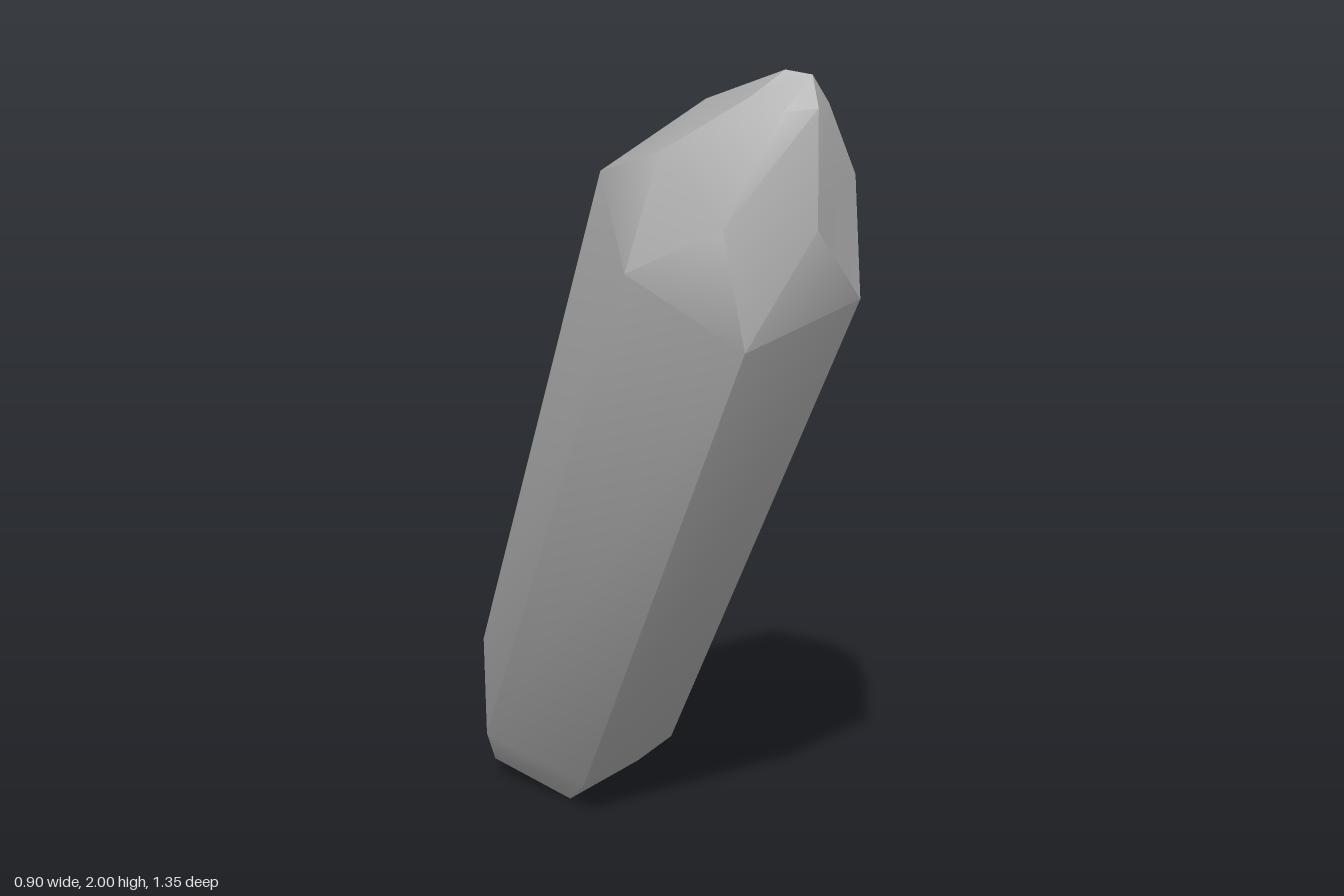
import * as THREE from 'three';
import { toCreasedNormals } from 'three/addons/utils/BufferGeometryUtils.js';

const V = (x, y, z) => new THREE.Vector3(x, y, z);

export function createModel() {
  const group = new THREE.Group();
  group.name = 'crystal';
  const stone = new THREE.MeshStandardMaterial({ color: 0xb0b0b0 });
  stone.name = 'grey stone';

  // Leaning axis and the six spokes of the hexagonal section
  const foot = V(0.255, 0.115, -0.507);
  const axis = V(-0.259, 0.822, 0.507);
  const half = [V(0.195, 0.037, 0.04), V(0.087, -0.075, 0.167), V(-0.11, -0.1125, 0.1325)];
  const spokes = [...half, ...half.map((v) => v.clone().negate())];
  const ring = (t, s) => spokes.map((d) => foot.clone().addScaledVector(axis, t).addScaledVector(d, s));

  const bottom = ring(0, 1);
  const lower = ring(0.19, 1.25);
  const shoulder = ring(1.92, 1.25);
  shoulder[3].set(-0.453, 1.66, 0.42);

  // Uneven facet corners of the tip, each between two body edges
  const facet = [
    V(-0.115, 1.81, 0.638), V(-0.255, 1.75, 0.677), V(-0.388, 1.76, 0.585),
    V(-0.38, 1.86, 0.43), V(-0.235, 1.92, 0.4), V(-0.1, 1.91, 0.5),
  ];
  const crown = [
    V(-0.2, 1.95, 0.645), V(-0.24, 1.95, 0.657), V(-0.285, 1.945, 0.62),
    V(-0.285, 1.96, 0.55), V(-0.235, 2, 0.578), V(-0.19, 1.985, 0.6),
  ];
  const apex = V(-0.217, 1.996, 0.622);

  const build = (name, triangles) => {
    const geometry = new THREE.BufferGeometry().setFromPoints(triangles);
    const mesh = new THREE.Mesh(toCreasedNormals(geometry, 0.56), stone);
    mesh.name = name;
    group.add(mesh);
  };
  const band = (out, a, b, i, j) => out.push(a[j], a[i], b[i], a[j], b[i], b[j]);

  // Shaft, tapered foot and pointed tip share one skin so shading flows across them
  const skin = [];
  const base = [];
  for (let i = 0; i < 6; i++) {
    const j = (i + 1) % 6;
    const h = (i + 5) % 6;
    base.push(foot, bottom[i], bottom[j]);
    band(skin, bottom, lower, i, j);
    band(skin, lower, shoulder, i, j);
    skin.push(shoulder[j], shoulder[i], facet[i]);
    skin.push(shoulder[i], facet[h], facet[i]);
    band(skin, facet, crown, i, j);
    skin.push(apex, crown[j], crown[i]);
  }
  build('crystalShaft', skin);
  build('crystalBase', base);
  return group;
}
